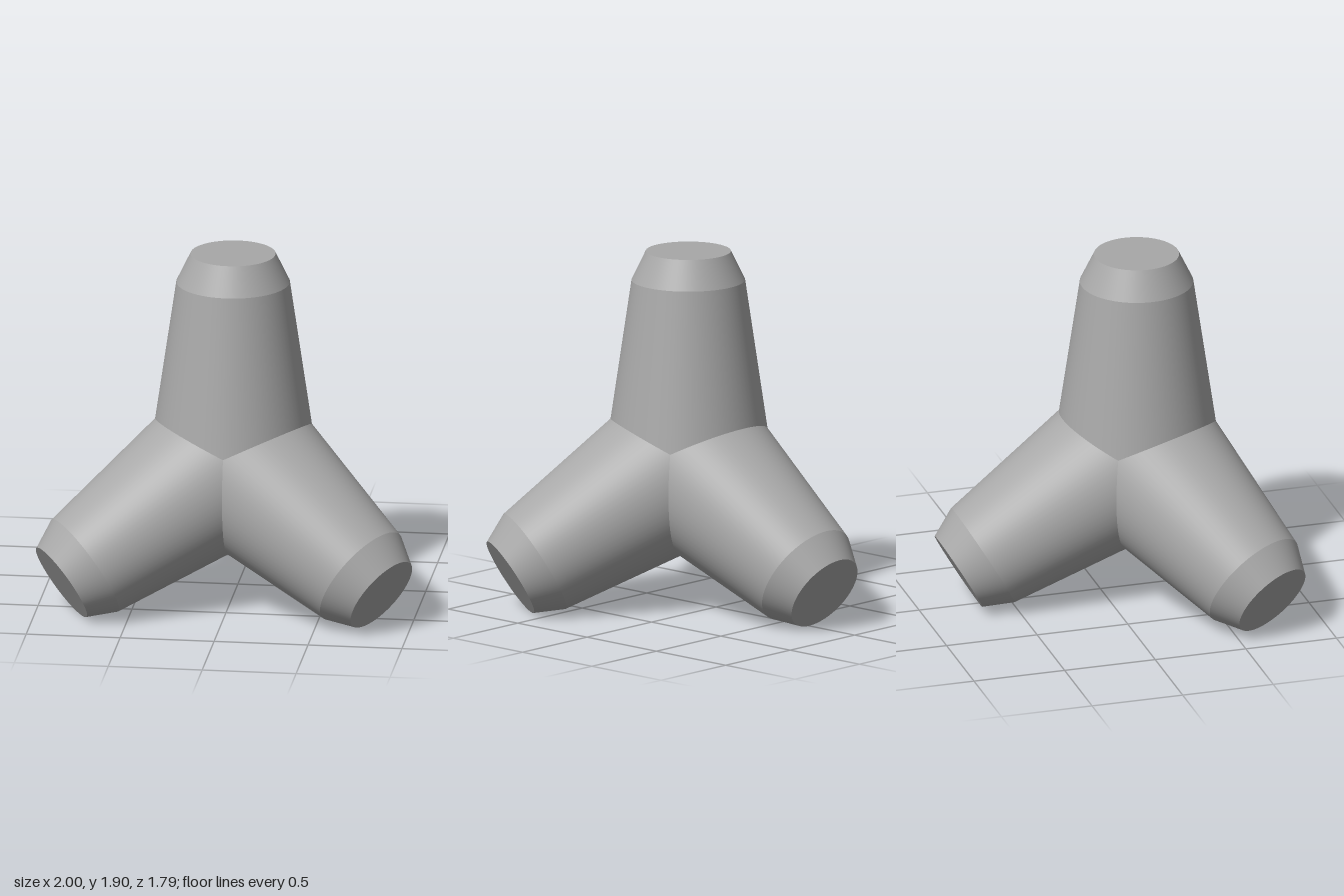
import * as THREE from 'three';

const SEGMENTS = 72;
const LENGTH = 1.135;      // hub centre to tip
const CHAMFER = 0.155;     // length of the bevelled end
const HUB_RADIUS = 0.444;
const SHOULDER_RADIUS = 0.3;
const TIP_RADIUS = 0.225;

// One tapered arm along +y: long cone, bevelled end and flat tip
function createArm(name, material) {
  const arm = new THREE.Group();
  arm.name = name;
  const add = (part, geometry, y) => {
    const mesh = new THREE.Mesh(geometry, material);
    mesh.name = part;
    mesh.position.y = y;
    arm.add(mesh);
  };
  const shaft = LENGTH - CHAMFER;
  add('shaft', new THREE.CylinderGeometry(SHOULDER_RADIUS, HUB_RADIUS, shaft, SEGMENTS, 1, true), shaft / 2);
  add('bevel', new THREE.CylinderGeometry(TIP_RADIUS, SHOULDER_RADIUS, CHAMFER, SEGMENTS, 1, true), shaft + CHAMFER / 2);
  add('tip', new THREE.CircleGeometry(TIP_RADIUS, SEGMENTS).rotateX(-Math.PI / 2), LENGTH);
  return arm;
}

export function createModel() {
  const model = new THREE.Group();
  model.name = 'tetrapod';
  const concrete = new THREE.MeshStandardMaterial({ color: 0xa8a8a8 });
  concrete.name = 'concrete grey';

  // All four arms meet at the hub
  const hub = new THREE.Group();
  hub.name = 'hub';
  hub.position.set(0, 0.763, 0.2);
  model.add(hub);

  hub.add(createArm('topArm', concrete));

  // Three legs, 30 degrees below horizontal and evenly spread
  const legs = { leftLeg: 60, backLeg: 180, rightLeg: -60 };
  for (const [name, degrees] of Object.entries(legs)) {
    const leg = createArm(name, concrete);
    leg.rotation.set(THREE.MathUtils.degToRad(120), THREE.MathUtils.degToRad(degrees), 0, 'YXZ');
    hub.add(leg);
  }
  return model;
}
